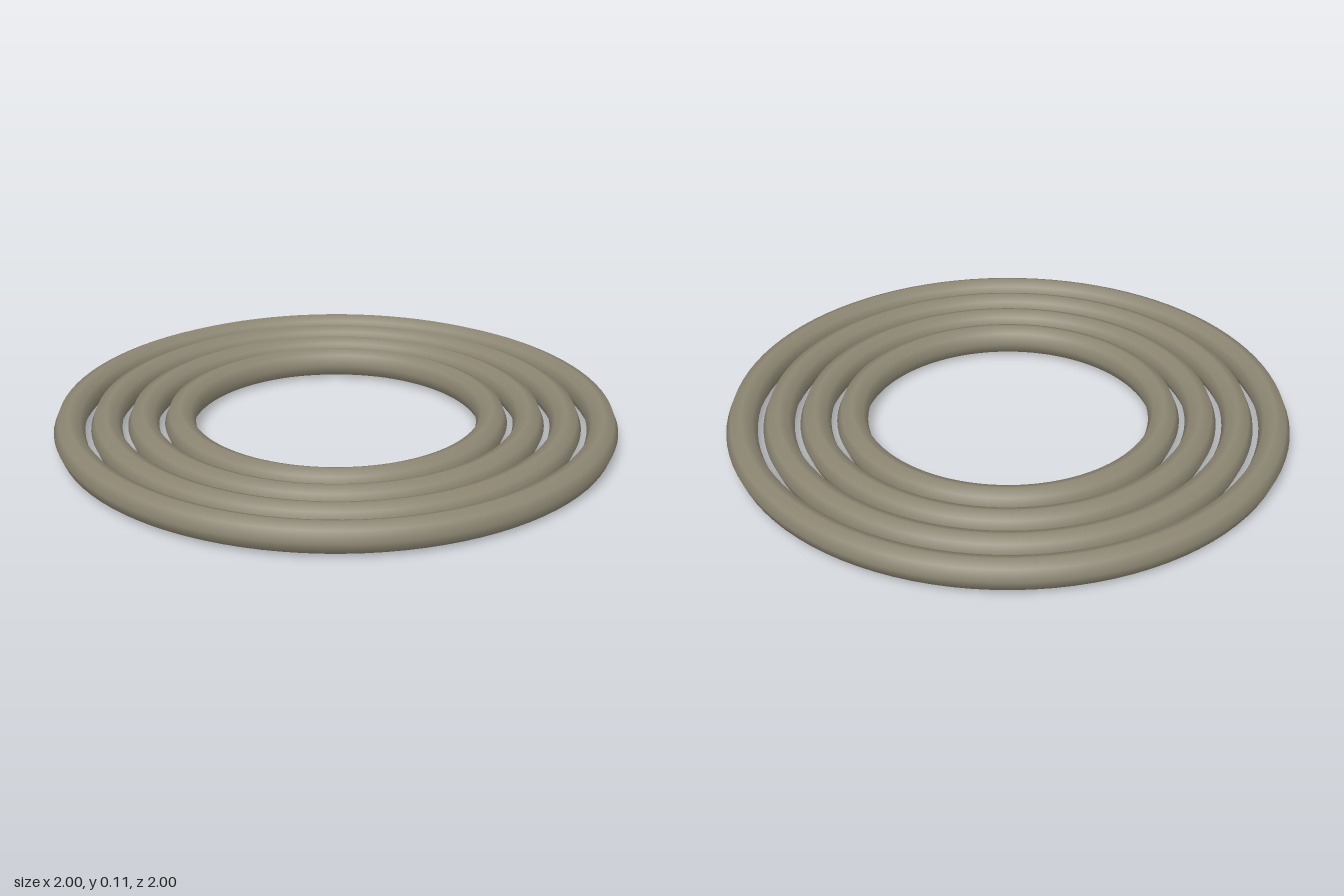
import * as THREE from 'three';

export function createModel() {
  const group = new THREE.Group();
  group.name = 'concentricRings';
  const material = new THREE.MeshStandardMaterial({ color: 0x8c8672 });
  material.name = 'warm grey';

  // Four evenly spaced rings lying flat, all with the same tube
  const tube = 0.055;
  const outerRadius = 1 - tube;
  const spacing = 0.13;
  for (let i = 0; i < 4; i++) {
    const geometry = new THREE.TorusGeometry(outerRadius - i * spacing, tube, 8, 96);
    geometry.rotateX(-Math.PI / 2);
    const ring = new THREE.Mesh(geometry, material);
    ring.name = `ring${i + 1}`;
    ring.position.y = tube;
    group.add(ring);
  }
  return group;
}
